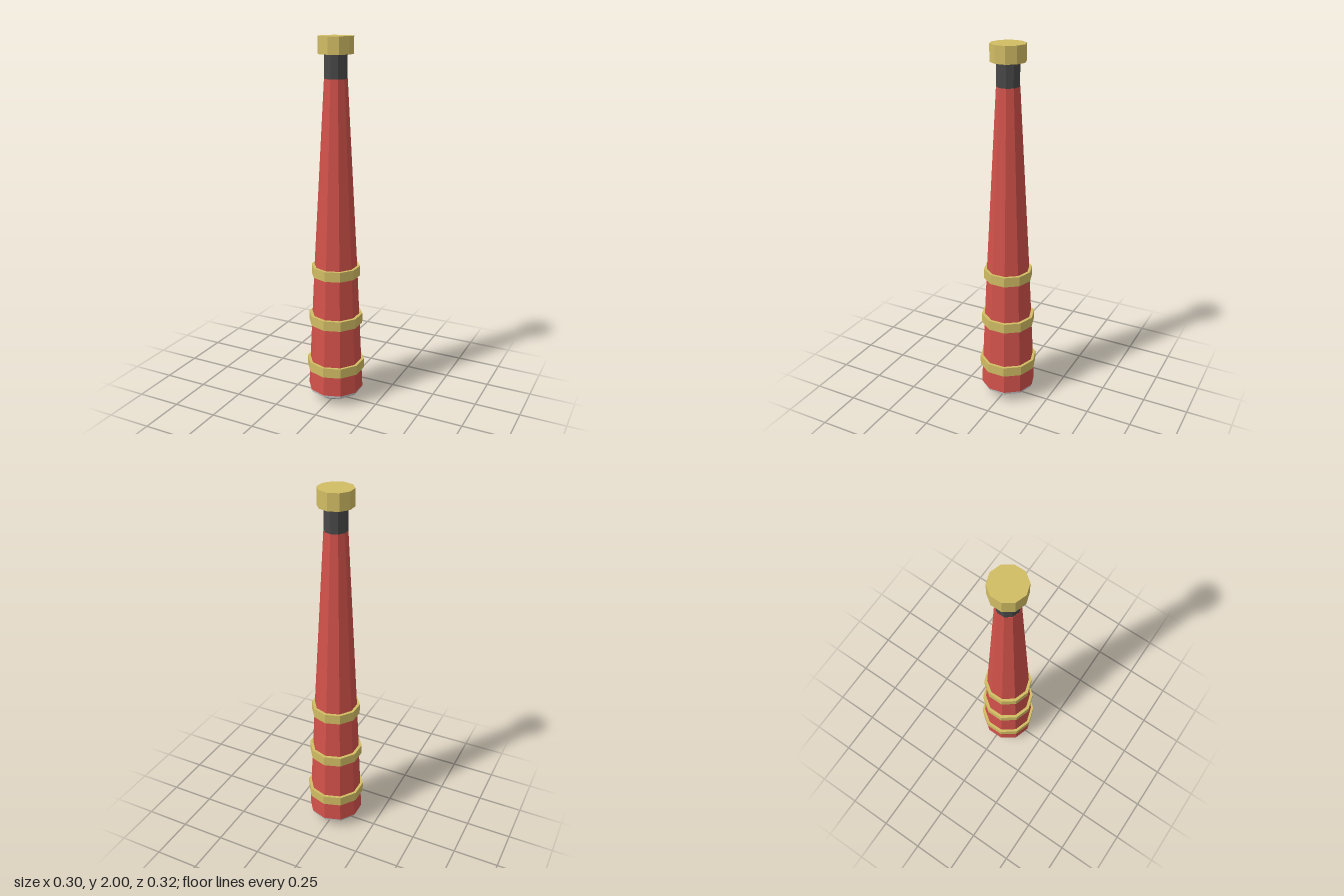
import * as THREE from 'three';

const SIDES = 10;

function flatMaterial(name, color) {
  const m = new THREE.MeshStandardMaterial({ color });
  m.name = name;
  return m;
}

export function createModel() {
  const group = new THREE.Group();
  group.name = 'spyglass';

  const red = flatMaterial('red', 0xd2514a);
  const brass = flatMaterial('brass', 0xd2bd64);
  const dark = flatMaterial('darkGrey', 0x484848);
  const glass = flatMaterial('lightGrey', 0xc8c8c8);

  // Faceted solid of revolution from [radius, height] pairs, bottom to top
  function turned(name, profile, material) {
    const points = profile.map(([r, y]) => new THREE.Vector2(r, y));
    const geometry = new THREE.LatheGeometry(points, SIDES).toNonIndexed();
    geometry.computeVertexNormals();
    const mesh = new THREE.Mesh(geometry, material);
    mesh.name = name;
    group.add(mesh);
  }

  // Closed band between two heights
  const band = (name, r, y0, y1, material) =>
    turned(name, [[0, y0], [r, y0], [r, y1], [0, y1]], material);

  // Tapered tube
  turned('tube', [[0, 0.07], [0.153, 0.07], [0.117, 0.795], [0.061, 1.79], [0, 1.79]], red);

  // Bulging lens with a short rim at the wide end
  turned('lens', [[0, 0], [0.09, 0.018], [0.147, 0.055], [0.149, 0.072], [0, 0.072]], glass);

  // Brass rings around the tube
  [[0.16, 0.185], [0.148, 0.46], [0.133, 0.738]].forEach(([r, y], i) =>
    band(`ring${i + 1}`, r, y, y + 0.055, brass));

  // Neck and eyepiece at the narrow end
  band('neck', 0.06, 1.785, 1.915, dark);
  band('eyepiece', 0.092, 1.912, 2, brass);

  return group;
}
